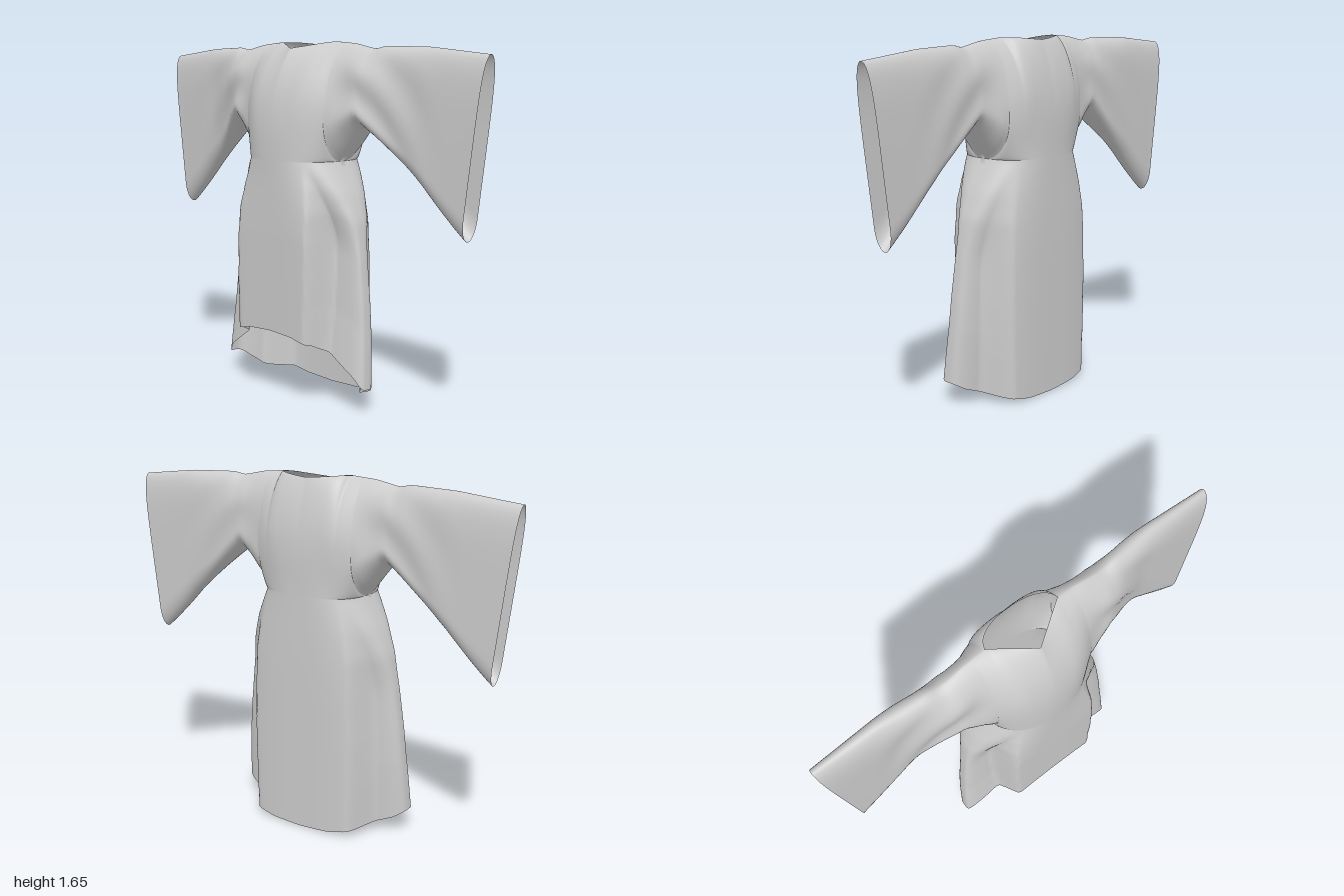
import * as THREE from 'three';
import { mergeGeometries, mergeVertices } from 'three/addons/utils/BufferGeometryUtils.js';

const { lerp, smoothstep, clamp } = THREE.MathUtils;

// Piecewise curve through [x, y] pairs, x ascending
function curve(points, x) {
  if (x <= points[0][0]) return points[0][1];
  for (let i = 1; i < points.length; i++) {
    const [x0, y0] = points[i - 1], [x1, y1] = points[i];
    if (x <= x1) return lerp(y0, y1, (x - x0) / (x1 - x0));
  }
  return points[points.length - 1][1];
}

// The same curve with its corners softened over a width r
function soft(points, x, r) {
  let sum = 0;
  for (let i = -4; i <= 4; i++) sum += curve(points, Math.abs(x + (i / 4) * r));
  return sum / 9;
}

const roundOff = (s, n) => Math.pow(Math.max(0, 1 - Math.pow(s, n)), 1 / n);

const WAIST_Y = 1.12, WAIST_W = 0.25, NECK_W = 0.18;
// Skirt tables: half width by height, hem height by s, side seam depth by v
const SKIRT_WIDTH = [[0.12, 0.455], [0.3, 0.443], [0.5, 0.425], [0.7, 0.4], [0.86, 0.372], [0.9, 0.357], [0.98, 0.325], [1.12, 0.25]];
const HEM_FRONT = [[0, 0.333], [0.3, 0.325], [0.52, 0.302], [0.56, 0.275], [0.9, 0.17], [1, 0.115]];
const HEM_BACK = [[0, 0.002], [0.35, 0.01], [0.62, 0.035], [0.9, 0.085], [1, 0.115]];
const SEAM_Z = [[0, 0.045], [0.25, 0.025], [0.6, 0.015], [1, 0]];
// Bodice and sleeve tables, by distance from the centre
const SHOULDER = [[0, 1.645], [0.15, 1.652], [0.3, 1.64], [0.42, 1.615], [0.47, 1.628], [0.7, 1.622], [1, 1.59]];
const UNDERARM = [[0.25, 1.12], [0.39, 1.285], [0.75, 1.03], [1, 0.825]];
const FRONT = [[0, 0.208], [0.16, 0.192], [0.29, 0.1], [0.4, 0.078], [0.5, 0.038], [0.65, 0], [1, -0.02]];
const BACK = [[0, -0.215], [0.18, -0.205], [0.3, -0.14], [0.38, -0.125], [1, -0.115]];
const MIDDLE = [[0, 0], [0.25, 0], [0.45, -0.04], [0.7, -0.062], [1, -0.067]];

// Depth of the waist line, shared by bodice and skirt
const waistZ = (s, front) => (front ? 0.208 : -0.205) * roundOff(s, front ? 2.4 : 2.7);

// Skirt: raised front and back panels, thin side flaps, hem dipping to the back
function skirtPoint(side, s, v, front) {
  const x = curve(SKIRT_WIDTH, lerp(0.12, WAIST_Y, v)) * s;
  const low = 1 - smoothstep(v, 0.55, 1);
  const seamZ = curve(SEAM_Z, v);
  const edge = (front ? 0.54 : 0.64) + 0.15 * v;
  const half = front ? 0.07 : 0.1;
  const flap = front ? lerp(0.32, 0.16, v) : 0.42;
  const panel = lerp(1, flap, smoothstep(s, edge - half, edge + half));
  const depth = (front ? 0.212 : lerp(-0.198, -0.21, v)) - seamZ;
  const z = lerp(waistZ(s, front), seamZ + depth * roundOff(s, front ? 4 : 3) * panel, low);
  const hem = soft(front ? HEM_FRONT : HEM_BACK, s, 0.02 * Math.min(1, (1 - s) * 10));
  return [side * x, lerp(hem, WAIST_Y, v), z];
}

// Bodice and sleeve: one sheet from waist and underarm up to neck and shoulder
function topPoint(side, X, v, front) {
  const k = Math.min(1, X / NECK_W);
  let topZ = lerp(-0.04, curve(MIDDLE, X), smoothstep(X, 0.25, 0.6));
  let topY = soft(SHOULDER, X, Math.min(0.02, 1 - X));
  if (X < NECK_W) {
    topZ = front ? lerp(0.08, -0.04, k) : -0.04 - 0.09 * Math.sqrt(1 - k * k);
    topY -= (front ? 0.025 : 0.008) * (1 - k);
  }

  const bottomY = curve(UNDERARM, X);
  const bottomZ = X < WAIST_W ? waistZ(X / WAIST_W, front) : curve(MIDDLE, X);
  const opening = 1 - Math.min(1, v / lerp(0.3, 0.13, smoothstep(X, 0.25, 0.6)));
  const rounded = Math.sqrt(1 - opening * opening);
  const swell = lerp(smoothstep(v, 0, 0.6), rounded, smoothstep(X, 0.12, 0.29));
  let full = soft(front ? FRONT : BACK, X, 0.05);
  // soft folds fanning out from the armpit
  const fold = smoothstep(X, 0.2, 0.36) * (1 - smoothstep(X, 0.5, 0.85));
  full += (front ? 1 : -0.6) * 0.008 * fold * Math.sin(11 * v + 16 * X);
  const body = lerp(bottomZ, full, swell);

  const outer = smoothstep(X, 0.25, 0.8);
  const a = lerp(3, 9, outer);
  const b = lerp(1, lerp(1.5, 2, outer), k);
  const cap = Math.pow(Math.max(0, 1 - Math.pow(v, a)), 1 / b);
  const x = X - 0.095 * (1 - v) * smoothstep(X, 0.39, 1);
  return [side * x, lerp(bottomY, topY, v), lerp(topZ, body, cap)];
}

// Grid of points over mirrored columns; back sheets get reversed winding
function sheet(point, columns, rows, front) {
  const all = [...columns.slice(1).reverse().map(c => [-1, c]), ...columns.map(c => [1, c])];
  const pos = [], index = [];
  for (const v of rows) for (const [side, c] of all) pos.push(...point(side, c, v, front));
  const n = all.length;
  for (let j = 0; j < rows.length - 1; j++) {
    for (let i = 0; i < n - 1; i++) {
      const p = j * n + i, q = p + 1, r = p + n, s = r + 1;
      if (front) index.push(p, q, s, p, s, r);
      else index.push(p, s, q, p, r, s);
    }
  }
  const g = new THREE.BufferGeometry();
  g.setAttribute('position', new THREE.Float32BufferAttribute(pos, 3));
  g.setIndex(index);
  return g;
}

export function createModel() {
  const group = new THREE.Group();
  group.name = 'wideSleevedRobe';

  // Columns crowd toward the side seam, rows toward the folded edges
  const steps = (n, f) => Array.from({ length: n + 1 }, (_, i) => f(i / n));
  const across = steps(40, t => (t === 1 ? 1 : Math.sin(t * Math.PI / 2)));
  const sleeve = steps(40, t => lerp(WAIST_W, 1, t)).slice(1);
  const topColumns = [...across.map(s => s * WAIST_W), ...sleeve];
  const topRows = steps(36, t => clamp((1 - Math.cos(Math.PI * t)) / 2, 0, 1));
  const skirtRows = steps(40, t => t);

  // Front and back sheets are welded into one cloth so the waist stays smooth
  const cloth = mergeVertices(mergeGeometries([true, false].flatMap(front => [
    sheet(topPoint, topColumns, topRows, front),
    sheet(skirtPoint, across, skirtRows, front),
  ])), 1e-4);
  cloth.computeVertexNormals();

  const robe = new THREE.Mesh(cloth, new THREE.MeshStandardMaterial({ color: 0xcccccc, side: THREE.DoubleSide }));
  robe.name = 'robe';
  group.add(robe);
  return group;
}
